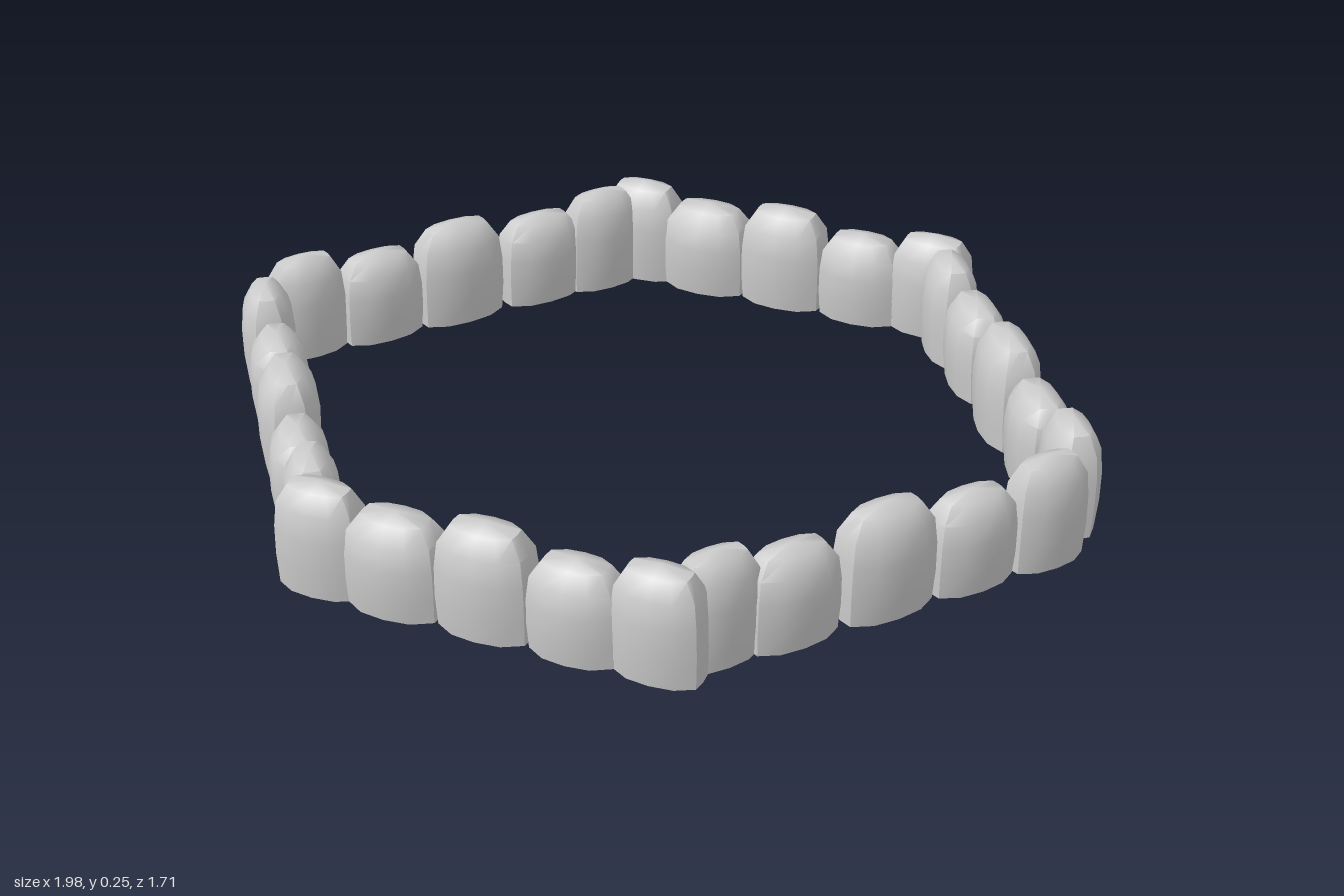
import * as THREE from 'three';
import { toCreasedNormals } from 'three/addons/utils/BufferGeometryUtils.js';

// Half of the stone's plan outline, as fractions of half length and half thickness
const OUTLINE = [[1, 0], [0.97, 0.52], [0.55, 0.9], [0, 1], [-0.55, 0.9], [-0.97, 0.52],
  [-1, 0], [-0.97, -0.52], [-0.55, -0.9], [0, -1], [0.55, -0.9], [0.97, -0.52]];
// Cross-sections: height, length scale, thickness scale
const LEVELS = [[0, 0.98, 0.86], [0.28, 1.01, 0.98], [0.55, 1, 1], [0.78, 0.94, 0.9], [0.94, 0.7, 0.55]];

// One worn block: stacked cross-sections closed by a low crown and a flat base
function stoneGeometry(length, height, thickness) {
  const pos = [], index = [], n = OUTLINE.length;
  for (const [y, sl, st] of LEVELS) {
    for (const [u, v] of OUTLINE) pos.push(u * sl * length / 2, y * height, v * st * thickness / 2);
  }
  const crown = pos.length / 3;
  pos.push(0, height, 0, 0, 0, 0);
  for (let i = 0; i < n; i++) {
    const j = (i + 1) % n;
    for (let k = 0; k < LEVELS.length - 1; k++) {
      const a = k * n + i, b = k * n + j;
      index.push(a, a + n, b, b, a + n, b + n);
    }
    const t = (LEVELS.length - 1) * n;
    index.push(t + i, crown, t + j, i, j, crown + 1);
  }
  const geo = new THREE.BufferGeometry();
  geo.setAttribute('position', new THREE.Float32BufferAttribute(pos, 3));
  geo.setIndex(index);
  return toCreasedNormals(geo, 0.8);
}

// Stones of a straight side: x, length, height, thickness
const STRAIGHT = [
  [-0.37, 0.185, 0.245, 0.13], [-0.2, 0.205, 0.217, 0.155], [0, 0.2, 0.245, 0.145],
  [0.195, 0.19, 0.213, 0.145], [0.37, 0.185, 0.245, 0.13],
];
// Stones of a slanted side, from corner to tip: x, z, length, height, thickness
const SLANTED = [
  [0.445, 0.685, 0.18, 0.245, 0.12], [0.55, 0.56, 0.2, 0.215, 0.13], [0.68, 0.387, 0.21, 0.245, 0.135],
  [0.802, 0.225, 0.195, 0.214, 0.13], [0.915, 0.083, 0.175, 0.245, 0.12],
];

export function createModel() {
  const group = new THREE.Group();
  group.name = 'stoneRing';
  const material = new THREE.MeshStandardMaterial({ color: 0xcccccc });

  const addStone = (side, name, x, z, turn, length, height, thickness) => {
    const mesh = new THREE.Mesh(stoneGeometry(length, height, thickness), material);
    mesh.name = name;
    mesh.position.set(x, 0, z);
    mesh.rotation.y = turn;
    side.add(mesh);
  };

  for (const sz of [1, -1]) {
    const end = sz > 0 ? 'front' : 'back';

    // Straight front and back sides
    const straight = new THREE.Group();
    straight.name = end + 'Side';
    STRAIGHT.forEach(([x, l, h, t], i) => addStone(straight, `${end}Stone${i + 1}`, x, sz * 0.777, 0, l, h, t));
    group.add(straight);

    // Slanted sides meeting at the left and right tips
    for (const sx of [1, -1]) {
      const side = new THREE.Group();
      const label = end + (sx > 0 ? 'Left' : 'Right');
      side.name = label + 'Side';
      SLANTED.forEach(([x, z, l, h, t], i) =>
        addStone(side, `${label}Stone${i + 1}`, sx * x, sz * z, sx * sz * 0.98, l, h, t));
      group.add(side);
    }
  }
  return group;
}
